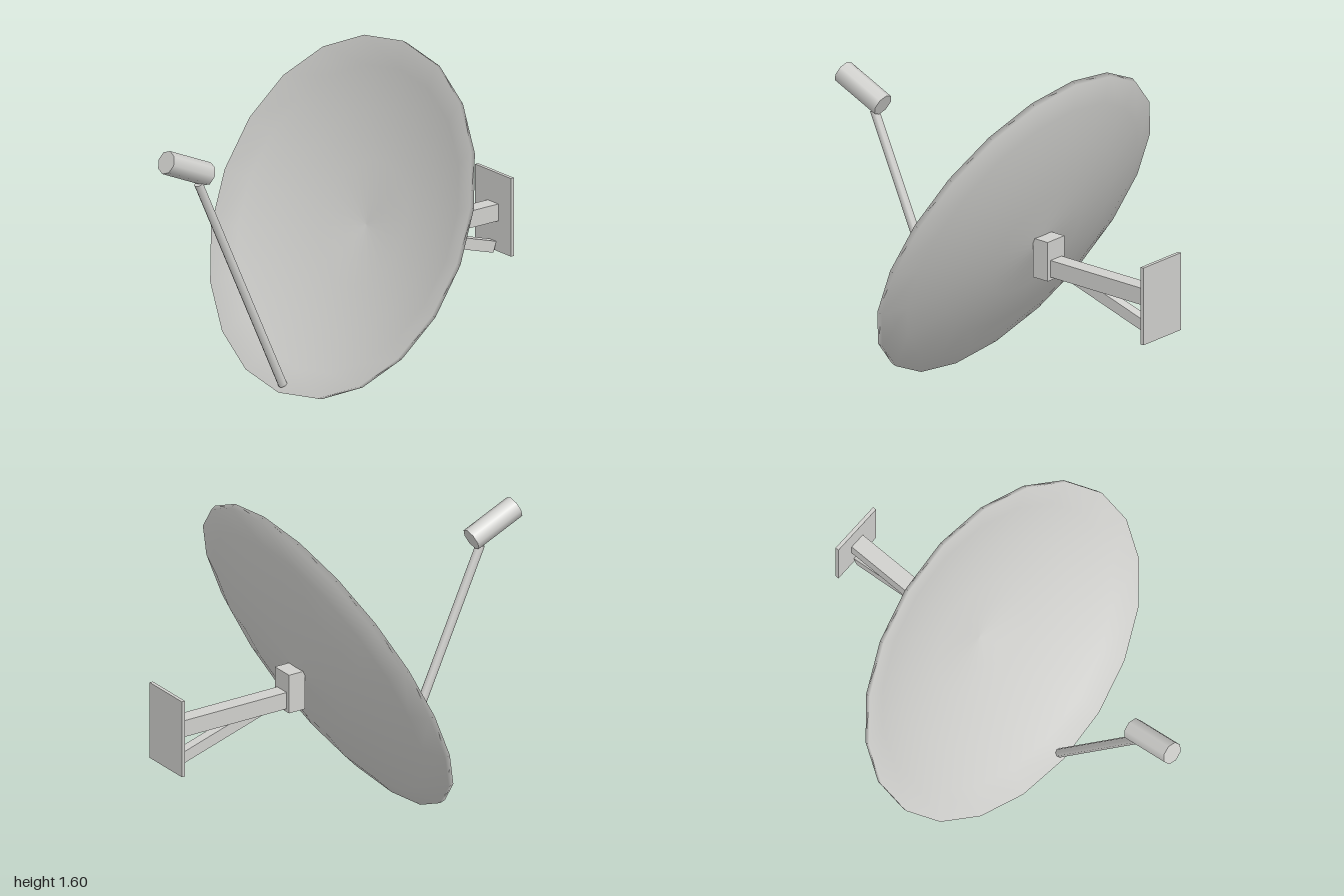
import * as THREE from 'three';

const paint = new THREE.MeshStandardMaterial({ color: 0xcfcfcc });
paint.name = 'pale grey paint';

export function createModel() {
  const model = new THREE.Group();
  model.name = 'satelliteDish';

  const add = (name, geometry, x, y, z) => {
    const mesh = new THREE.Mesh(geometry, paint);
    mesh.name = name;
    mesh.position.set(x, y, z);
    model.add(mesh);
    return mesh;
  };

  // Cylinder running between two points of the centre plane, given as [y, z]
  const rod = (name, radius, sides, [y0, z0], [y1, z1]) => {
    const length = Math.hypot(y1 - y0, z1 - z0);
    const mesh = add(name, new THREE.CylinderGeometry(radius, radius, length, sides), 0, (y0 + y1) / 2, (z0 + z1) / 2);
    mesh.rotation.x = Math.atan2(z1 - z0, y1 - y0);
    return mesh;
  };

  // Reflector: thin bowl, back surface out to the lip, then front surface inward
  const back = [[0, -0.192], [0.3, -0.168], [0.55, -0.122], [0.75, -0.071], [0.875, -0.027]];
  const front = [[0.878, 0], [0.745, -0.048], [0.545, -0.1], [0.3, -0.146], [0, -0.17]];
  const profile = [...back, ...front].map(([r, h]) => new THREE.Vector2(r, h));
  const reflector = add('reflector', new THREE.LatheGeometry(profile, 20), 0, 0.81, -0.068);
  reflector.rotation.x = THREE.MathUtils.degToRad(64.8);

  // Feed arm and receiver
  rod('feedArm', 0.022, 8, [0.05, 0.28], [1.155, 0.785]);
  rod('receiver', 0.057, 8, [1.193, 0.733], [1.302, 0.979]);

  // Wall mount
  add('mountBlock', new THREE.BoxGeometry(0.12, 0.196, 0.09), 0, 0.687, -0.296);
  add('mountArm', new THREE.BoxGeometry(0.08, 0.084, 0.65), 0, 0.647, -0.66);
  add('wallPlate', new THREE.BoxGeometry(0.27, 0.388, 0.018), 0, 0.647, -0.991);

  // Diagonal brace under the arm
  const brace = add('brace', new THREE.BoxGeometry(0.05, 0.056, 0.55), 0, 0.553, -0.71);
  brace.rotation.x = -0.295;

  return model;
}
